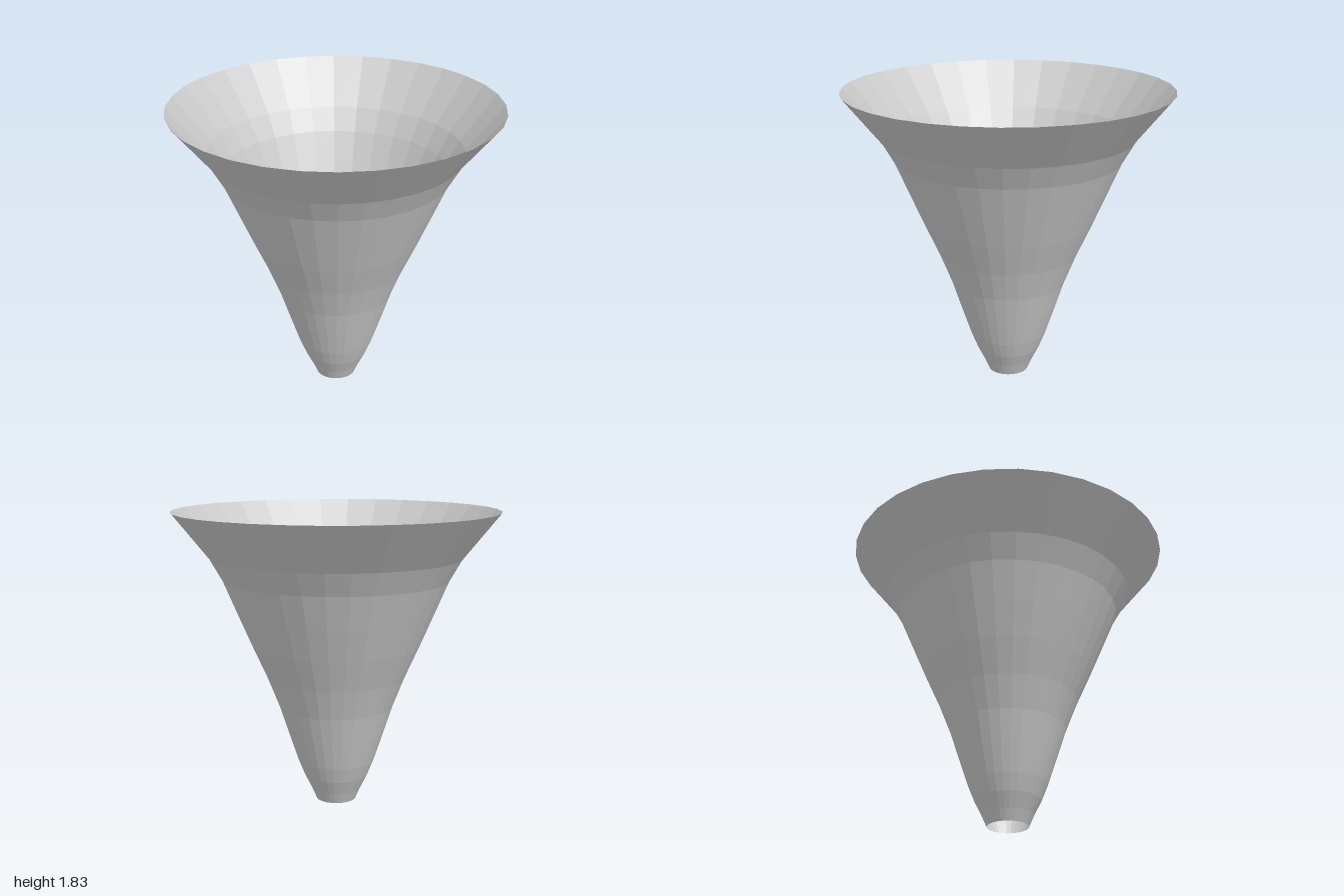
import * as THREE from 'three';

export function createModel() {
  const model = new THREE.Group();
  model.name = 'funnel';

  // Thin open shell: radius and height from the narrow spout to the flared rim
  const profile = [
    [0.125, 0], [0.155, 0.07], [0.2, 0.16], [0.24, 0.26], [0.3, 0.44], [0.355, 0.61],
    [0.43, 0.8], [0.52, 1.0], [0.61, 1.21], [0.695, 1.41], [0.775, 1.55], [1, 1.83],
  ].map(([r, y]) => new THREE.Vector2(r, y));

  const material = new THREE.MeshStandardMaterial({
    color: 0xcccccc,
    flatShading: true,
    side: THREE.DoubleSide,
  });
  const shell = new THREE.Mesh(new THREE.LatheGeometry(profile, 32), material);
  shell.name = 'flaredShell';
  model.add(shell);

  return model;
}
